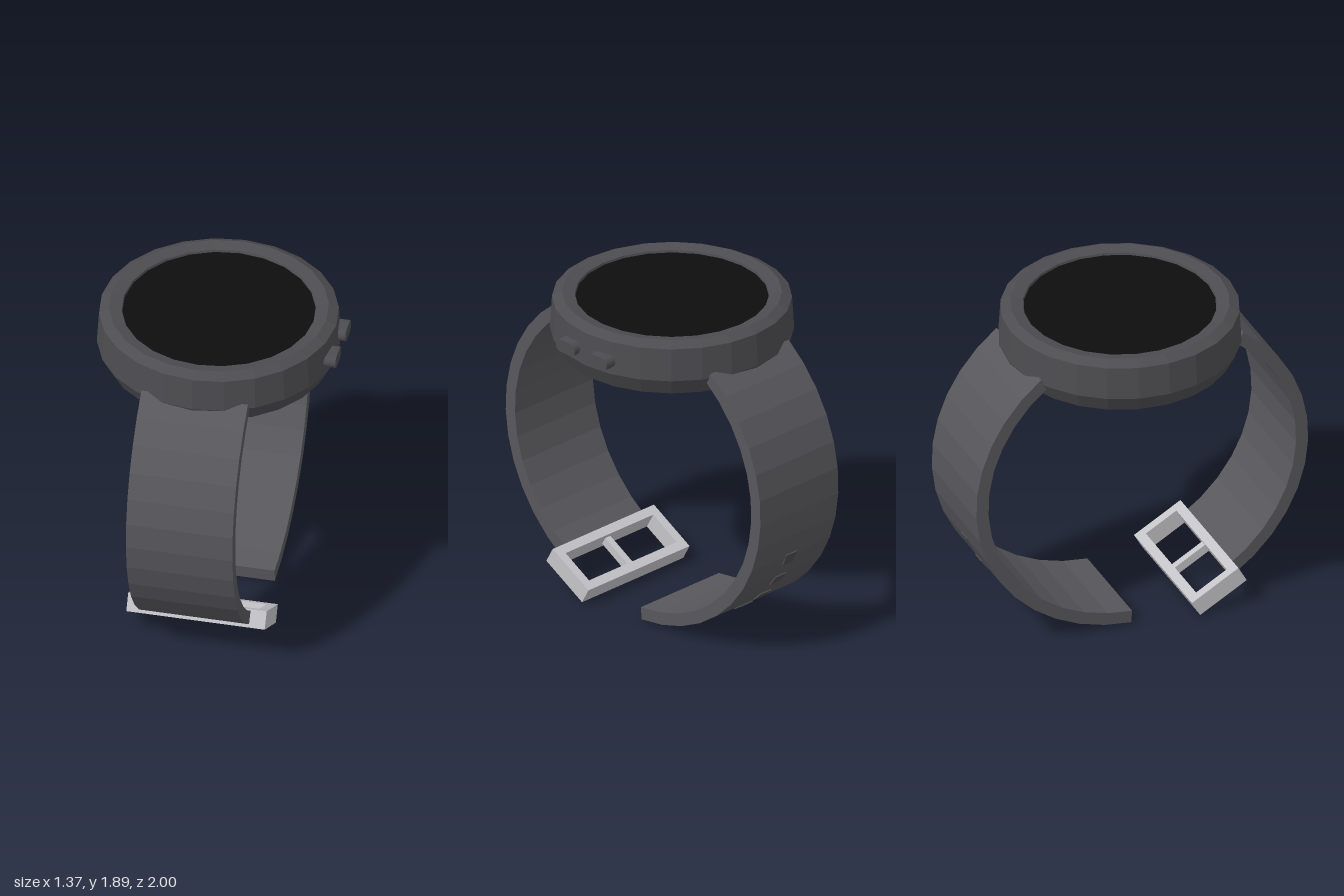
import * as THREE from 'three';

const material = (name, color, side = THREE.FrontSide) => {
  const m = new THREE.MeshStandardMaterial({ color, side });
  m.name = name;
  return m;
};
const CX = -0.015; // centre line of the watch
const MID_Y = 0.95; // centre height of the strap loop

export function createModel() {
  const model = new THREE.Group();
  model.name = 'wristwatch';
  const caseGrey = material('case grey', 0x4d4d51);
  const strapGrey = material('strap grey', 0x58575c);
  const buckleSilver = material('buckle silver', 0xc4c4c8);
  const screenBlack = material('screen black', 0x0d0d0d);

  const add = (name, geometry, mat) => {
    const mesh = new THREE.Mesh(geometry, mat);
    mesh.name = name;
    model.add(mesh);
    return mesh;
  };
  const lathe = (pts) =>
    new THREE.LatheGeometry(pts.map(([r, y]) => new THREE.Vector2(r, y)), 24);
  // Extrusion centred on its depth
  const extrude = (shape, depth) =>
    new THREE.ExtrudeGeometry(shape, { depth, bevelEnabled: false, curveSegments: 4 })
      .translate(0, 0, -depth / 2);

  // Case: faceted wall, bevel and sloping bezel
  const wall = lathe([
    [0.62, 1.57], [0.672, 1.67], [0.66, 1.86], [0.605, 1.89], [0.535, 1.875], [0.53, 1.855],
  ]).toNonIndexed();
  wall.computeVertexNormals();
  add('case', wall, caseGrey).position.x = CX;

  // Shallow domed underside
  add('caseBack', lathe([[0, 1.48], [0.24, 1.488], [0.46, 1.518], [0.62, 1.57]]), caseGrey)
    .position.x = CX;

  // Display disc, set just below the bezel
  add('screen', new THREE.CircleGeometry(0.532, 24).rotateX(-Math.PI / 2), screenBlack)
    .position.set(CX, 1.862, 0);

  // Two side buttons with rounded ends
  const pill = new THREE.Shape();
  pill.absarc(0.0375, 0, 0.0375, -Math.PI / 2, Math.PI / 2);
  pill.absarc(-0.0375, 0, 0.0375, Math.PI / 2, Math.PI * 1.5);
  for (const side of [1, -1]) {
    add(side > 0 ? 'frontButton' : 'rearButton',
      extrude(pill, 0.09).rotateY(Math.PI / 2), caseGrey)
      .position.set(0.64, 1.742, side * 0.125);
  }

  // Strap halves: curved bands running down from the case
  const rad = THREE.MathUtils.degToRad;
  const loopPoint = (deg, inset) => new THREE.Vector2(
    (1 - inset) * Math.cos(rad(deg)), MID_Y + (0.95 - inset) * Math.sin(rad(deg)));
  const strap = (endDeg, steps) => {
    const outer = [], inner = [];
    for (let i = 0; i <= steps; i++) {
      const a = THREE.MathUtils.lerp(52.5, endDeg, i / steps);
      outer.push(loopPoint(a, 0));
      inner.unshift(loopPoint(a, 0.073));
    }
    return extrude(new THREE.Shape([...outer, ...inner]), 0.6).rotateY(-Math.PI / 2);
  };
  add('frontStrap', strap(-57, 12), strapGrey).position.x = CX;
  add('rearStrap', strap(-86.2, 15).rotateY(Math.PI), strapGrey).position.x = CX;

  // Row of square adjustment marks on the rear strap
  for (let i = 0; i < 5; i++) {
    const deg = -23 - i * 11;
    const p = loopPoint(deg, 0);
    const mark = add('strapHole', new THREE.BoxGeometry(0.08, 0.08, 0.009), caseGrey);
    mark.position.set(CX, p.y, -p.x);
    mark.rotation.x = -Math.atan2(Math.sin(rad(deg)), Math.cos(rad(deg)) * 0.95) + Math.PI;
    mark.rotation.x *= -1;
  }

  // Buckle frame with its centre prong
  const rect = (Type, w, h) => new Type([
    new THREE.Vector2(-w / 2, -h / 2), new THREE.Vector2(w / 2, -h / 2),
    new THREE.Vector2(w / 2, h / 2), new THREE.Vector2(-w / 2, h / 2),
  ]);
  const frame = rect(THREE.Shape, 0.78, 0.32);
  frame.holes.push(rect(THREE.Path, 0.675, 0.21));
  const buckle = new THREE.Group();
  buckle.name = 'buckle';
  const frameMesh = new THREE.Mesh(extrude(frame, 0.103), buckleSilver);
  frameMesh.name = 'buckleFrame';
  const prong = new THREE.Mesh(new THREE.BoxGeometry(0.04, 0.22, 0.05), buckleSilver);
  prong.name = 'buckleProng';
  buckle.add(frameMesh, prong);
  buckle.position.set(CX, 0.127, 0.424);
  buckle.rotation.x = rad(61);
  model.add(buckle);

  return model;
}
